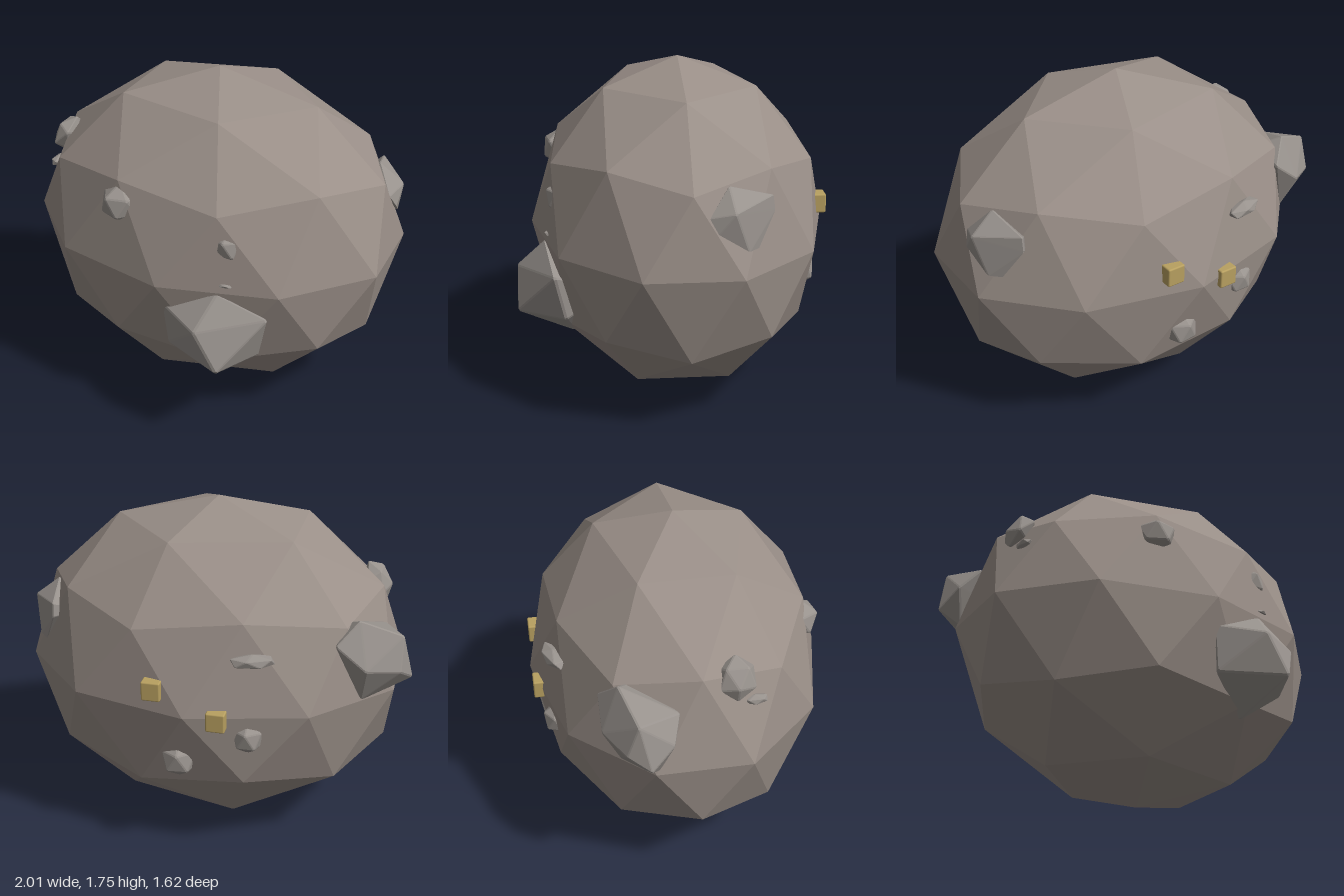
import * as THREE from 'three';
import { ConvexGeometry } from 'three/addons/geometries/ConvexGeometry.js';
import { RoundedBoxGeometry } from 'three/addons/geometries/RoundedBoxGeometry.js';

const V = (p) => new THREE.Vector3(...p);

// Icosahedron turned so that one corner points straight up
function icosphere(detail) {
  return new THREE.IcosahedronGeometry(1, detail).rotateZ(-Math.atan(2 / (1 + Math.sqrt(5))));
}

// Worn edges: pull each face in a little and wrap a new hull around the faces
function bevel(geometry, amount) {
  const pos = geometry.attributes.position;
  const points = [];
  for (let i = 0; i < pos.count; i += 3) {
    const corners = [0, 1, 2].map((k) => new THREE.Vector3().fromBufferAttribute(pos, i + k));
    const centre = new THREE.Vector3();
    corners.forEach((c) => centre.addScaledVector(c, 1 / 3));
    corners.forEach((c) => points.push(c.lerp(centre, amount)));
  }
  return new ConvexGeometry(points);
}

export function createModel() {
  const model = new THREE.Group();
  const rockMat = new THREE.MeshStandardMaterial({ color: 0x9a8f88, flatShading: true });
  const stoneMat = new THREE.MeshStandardMaterial({ color: 0x98928d, flatShading: true });
  const goldMat = new THREE.MeshStandardMaterial({ color: 0xb8a060 });

  const add = (name, geometry, material, at = [0, 0, 0]) => {
    const mesh = new THREE.Mesh(geometry, material);
    mesh.name = name;
    mesh.position.set(...at);
    model.add(mesh);
    return mesh;
  };

  // Main boulder
  add('boulder', icosphere(1).scale(1.01, 0.875, 0.775), rockMat, [0.04, 0.88, -0.03]);

  // Large angular outcrops, each a hull over its corners
  const outcrops = {
    frontOutcrop: [
      [0.34, 0.875, 0.67], [0.05, 0.755, 0.69], [0.59, 0.76, 0.62], [0.28, 0.72, 0.82],
      [0.4, 0.515, 0.82], [0.07, 0.515, 0.67], [0.53, 0.51, 0.57], [0.3, 0.35, 0.53],
      [0.32, 0.6, 0.3],
    ],
    rightOutcrop: [
      [-0.75, 1.31, -0.42], [-0.96, 1.22, -0.35], [-1.01, 0.98, -0.3], [-0.95, 1.08, -0.18],
      [-0.85, 1.19, -0.14], [-0.8, 1.08, -0.51], [-0.65, 1.2, -0.51], [-0.96, 1.05, -0.41],
      [-0.9, 0.89, -0.25], [-0.65, 1.25, -0.33], [-0.77, 0.88, -0.42], [-0.6, 1, -0.2],
    ],
    leftOutcrop: [
      [0.86, 1.3, -0.2], [0.82, 1.24, -0.42], [0.82, 1.17, -0.43], [0.9, 1, -0.34],
      [0.95, 1.0, -0.29], [0.98, 1.1, -0.14], [0.95, 1.17, -0.1], [0.99, 1.2, -0.22],
      [0.7, 1.15, -0.25],
    ],
  };
  for (const [name, corners] of Object.entries(outcrops)) {
    add(name, bevel(new ConvexGeometry(corners.map(V)), 0.08), stoneMat);
  }

  // Small embedded stones: name, position, radii, rotation
  const pebble = bevel(icosphere(0), 0.15);
  const stones = [
    ['frontStone', [-0.22, 1.215, 0.58], [0.11, 0.108, 0.11], [0, 0.5, 0]],
    ['frontPebble', [0.36, 1.11, 0.58], [0.085, 0.088, 0.09], [0, -1.57, 0]],
    ['frontSliver', [0.37, 0.922, 0.635], [0.05, 0.014, 0.04], [0, 0, 0]],
    ['rightStone', [-0.77, 1.3, 0.14], [0.07, 0.115, 0.105], [0, 0, -0.5]],
    ['rightPebble', [-0.785, 1.175, 0.23], [0.036, 0.027, 0.07], [0, 0, 0]],
    ['backSliver', [-0.28, 1.17, -0.69], [0.122, 0.038, 0.055], [0, 0.3, 0]],
    ['backStone', [0.09, 0.59, -0.685], [0.1, 0.105, 0.095], [0, 0.4, 0]],
    ['backPebble', [-0.26, 0.755, -0.69], [0.08, 0.09, 0.085], [0, 1.57, 0]],
  ];
  for (const [name, at, radii, turn] of stones) {
    const stone = add(name, pebble, stoneMat, at);
    stone.scale.set(...radii);
    stone.rotation.set(...turn);
  }

  // Two golden blocks set in the back
  const block = new RoundedBoxGeometry(0.095, 0.1, 0.1, 2, 0.008);
  add('leftGoldBlock', block, goldMat, [0.2, 1.0, -0.745]);
  add('rightGoldBlock', block, goldMat, [-0.12, 0.87, -0.75]);

  return model;
}
